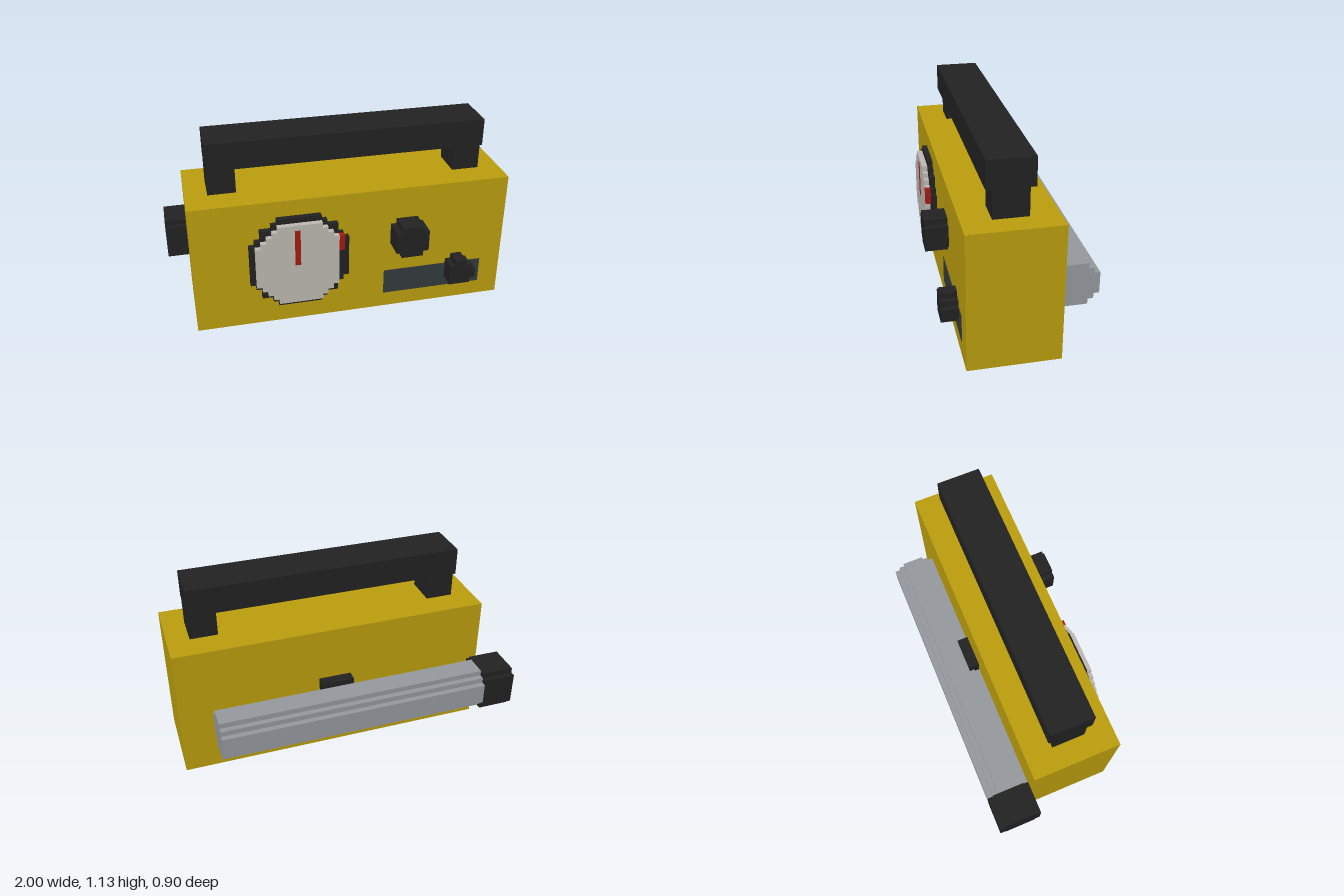
import * as THREE from 'three';

// One grid step; every size below is counted in these steps.
const U = 2 / 62;

const mat = (name, color) => {
  const m = new THREE.MeshStandardMaterial({ color });
  m.name = name;
  return m;
};

export function createModel() {
  const yellow = mat('yellow casing', 0xbd9f0e);
  const black = mat('black plastic', 0x222222);
  const grey = mat('grey metal', 0x969a9f);
  const cream = mat('cream dial', 0xbfbab2);
  const red = mat('red marker', 0xa51c10);
  const slate = mat('slate panel', 0x343c3e);

  const model = new THREE.Group();
  model.name = 'portableRadio';

  const add = (name, geometry, material) => {
    const mesh = new THREE.Mesh(geometry, material);
    mesh.name = name;
    model.add(mesh);
    return mesh;
  };

  // Box between two corners, in grid steps
  const box = (name, material, [x0, x1], [y0, y1], [z0, z1]) => {
    const g = new THREE.BoxGeometry((x1 - x0) * U, (y1 - y0) * U, (z1 - z0) * U);
    g.translate((x0 + x1) / 2 * U, (y0 + y1) / 2 * U, (z0 + z1) / 2 * U);
    return add(name, g, material);
  };

  // Stepped prism: rows of [left, right] stacked upward from y0, extruded d0..d1
  const stepped = (rows, y0, d0, d1) => {
    const pts = [];
    rows.forEach(([, r], i) => pts.push([r, y0 + i], [r, y0 + i + 1]));
    for (let i = rows.length - 1; i >= 0; i--) {
      pts.push([rows[i][0], y0 + i + 1], [rows[i][0], y0 + i]);
    }
    // drop points repeated or lying on a straight run
    const same = (a, b) => a[0] === b[0] && a[1] === b[1];
    const unique = pts.filter((p, i) => !same(p, pts[(i + 1) % pts.length]));
    const corners = unique.filter((p, i) => {
      const a = unique[(i + unique.length - 1) % unique.length];
      const b = unique[(i + 1) % unique.length];
      return !((a[0] === p[0] && p[0] === b[0]) || (a[1] === p[1] && p[1] === b[1]));
    });
    const shape = new THREE.Shape(corners.map(([x, y]) => new THREE.Vector2(x * U, y * U)));
    const g = new THREE.ExtrudeGeometry(shape, { depth: (d1 - d0) * U, bevelEnabled: false });
    return g.translate(0, 0, d0 * U);
  };

  // Symmetric rows from half widths listed from the middle outward
  const disc = (cx, half) => [...half].reverse().concat(half).map(h => [cx - h, cx + h]);

  // Casing
  box('casing', yellow, [-27, 31], [0, 25], [-6, 10]);

  // Carrying handle
  box('handleBar', black, [-23, 27], [30, 35], [-2, 6]);
  box('handlePostRight', black, [-23, -18], [25, 30], [-1, 5]);
  box('handlePostLeft', black, [22, 27], [25, 30], [-1, 5]);

  // Tuning dial: dark rim, light face cut short on one side, needle and marker
  add('dialRim', stepped(disc(-8, [9, 9, 9, 9, 8, 7, 7, 5, 4]), 4, 10, 11), black);
  const face = disc(-8, [8, 8, 8, 8, 7, 6, 5, 4]).map(([l, r]) => [l, Math.min(r, -1)]);
  add('dialFace', stepped(face, 5, 11, 12), cream);
  box('dialNeedle', red, [-9, -8], [13, 20], [12, 12.1]);
  box('dialMarker', red, [-1, 0], [15, 18], [11, 12]);

  // Knobs and the panel behind the lower one
  add('volumeKnob', stepped(disc(12, [3, 3, 2]), 13, 10, 14), black);
  box('controlPanel', slate, [8, 27], [3, 8], [10, 10.1]);
  add('selectorKnob', stepped([[20, 24], [20, 25], [20, 25], [20, 24], [21, 23]], 5, 10, 13), black);

  // Folded rod along the back, with its end cap and clip
  const alongX = g => g.rotateY(Math.PI / 2);
  add('rod', alongX(stepped(disc(10, [4, 4, 3, 2]), 6, -25, 25)), grey);
  add('rodCap', alongX(stepped(disc(10, [4, 4, 4, 3]), 6, -31, -25)), black);
  box('rodClip', black, [-1, 5], [6, 15], [-8, -6]);

  return model;
}
